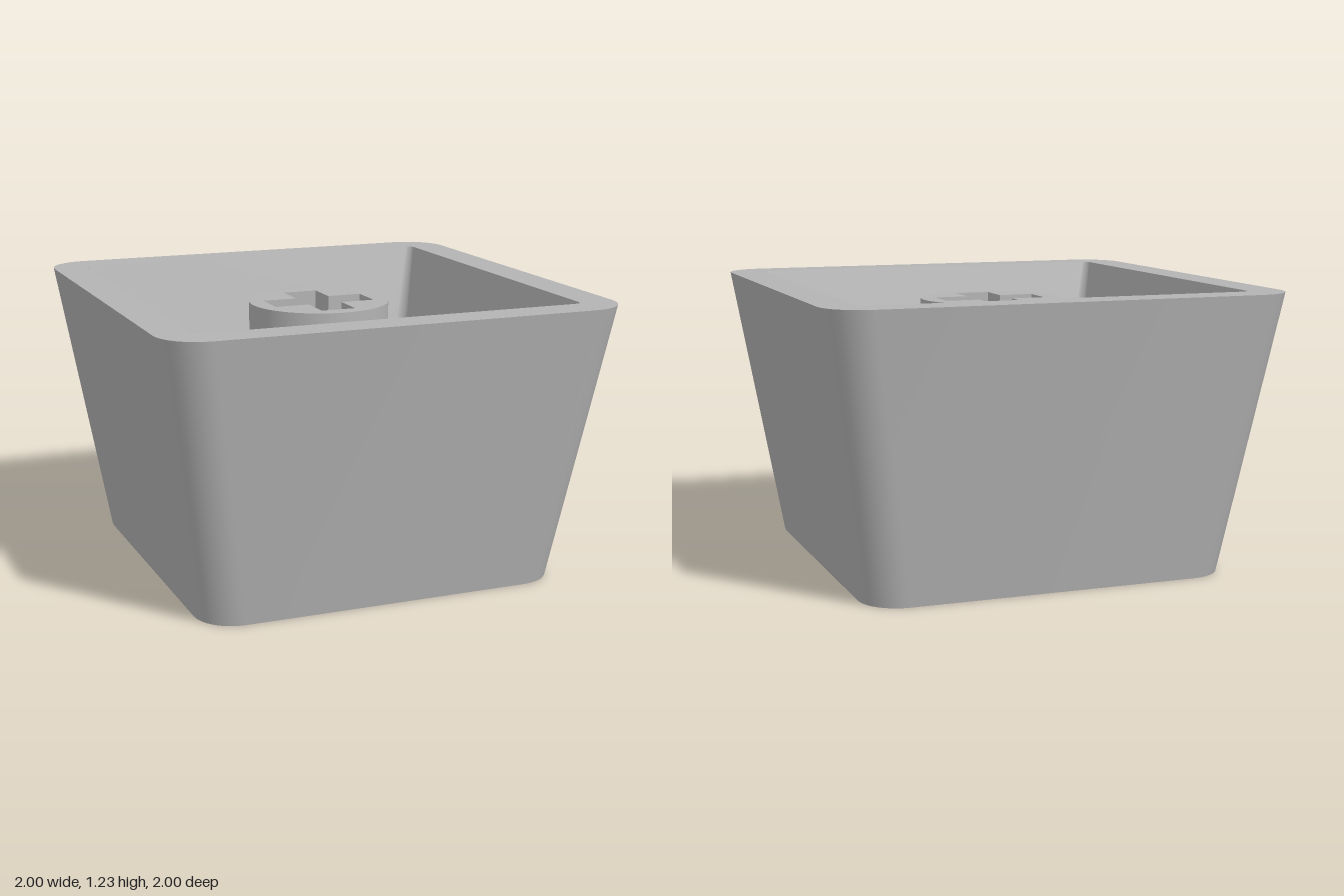
import * as THREE from 'three';
import { toCreasedNormals } from 'three/addons/utils/BufferGeometryUtils.js';

// Outlines are lists of [x, y] in plan, counter-clockwise, where plan y is -z.
function arc(cx, cy, r, from, to, steps) {
  return Array.from({ length: steps + 1 }, (_, i) => {
    const a = THREE.MathUtils.degToRad(from + ((to - from) * i) / steps);
    return [cx + r * Math.cos(a), cy + r * Math.sin(a)];
  });
}

function roundedSquare(half, r) {
  const c = half - r;
  return [[c, c], [-c, c], [-c, -c], [c, -c]].flatMap(([x, y], i) => arc(x, y, r, i * 90, i * 90 + 90, 8));
}

// Wall joining two matching outlines at heights y0 and y1
function wall(lower, upper, y0, y1, inward = false) {
  const pos = [];
  const n = lower.length;
  for (let i = 0; i < n; i++) {
    const j = (i + 1) % n;
    const a = [lower[i][0], y0, -lower[i][1]];
    const b = [lower[j][0], y0, -lower[j][1]];
    const c = [upper[j][0], y1, -upper[j][1]];
    const d = [upper[i][0], y1, -upper[i][1]];
    const tris = inward ? [a, c, b, a, d, c] : [a, b, c, a, c, d];
    pos.push(...tris.flat());
  }
  const g = new THREE.BufferGeometry();
  g.setAttribute('position', new THREE.Float32BufferAttribute(pos, 3));
  return toCreasedNormals(g, 0.5);
}

// Flat horizontal face with optional hole, facing up or down
function face(outline, y, hole = null, down = false) {
  const vecs = (pts) => pts.map(([px, py]) => new THREE.Vector2(px, down ? -py : py));
  const shape = new THREE.Shape(vecs(outline));
  if (hole) shape.holes.push(new THREE.Path(vecs(hole)));
  return new THREE.ShapeGeometry(shape).rotateX(down ? Math.PI / 2 : -Math.PI / 2).translate(0, y, 0);
}

export function createModel() {
  const grey = new THREE.MeshStandardMaterial({ color: 0xb3b3b3 });
  grey.name = 'grey plastic';
  const model = new THREE.Group();
  model.name = 'keycap';
  const add = (name, geometry, parent = model) => {
    const mesh = new THREE.Mesh(geometry, grey);
    mesh.name = name;
    parent.add(mesh);
  };

  const height = 1.225, floorY = 0.25;
  const outerBottom = roundedSquare(0.805, 0.17);
  const outerTop = roundedSquare(1, 0.18);
  const innerFloor = roundedSquare(0.65, 0.08);
  const innerTop = roundedSquare(0.845, 0.035);

  // Ring-shaped slot ending in a rounded arrowhead
  const slot = [
    ...arc(0, 0, 0.572, -90, 213, 20),
    [-0.52, -0.345], [-0.535, -0.39], [-0.52, -0.435], [-0.485, -0.455],
    [-0.31, -0.492], [-0.265, -0.48], [-0.242, -0.435],
    [-0.265, -0.255], [-0.285, -0.21], [-0.325, -0.195], [-0.36, -0.21],
    ...arc(0, 0, 0.457, 211, -90, 20),
    [-0.04, -0.47], [-0.06, -0.515], [-0.04, -0.56],
  ];

  // Tapered shell, open at the top
  const shell = new THREE.Group();
  shell.name = 'shell';
  model.add(shell);
  add('outerWall', wall(outerBottom, outerTop, 0, height), shell);
  add('innerWall', wall(innerFloor, innerTop, floorY, height, true), shell);
  add('rim', face(outerTop, height, innerTop), shell);
  add('underside', face(outerBottom, 0, slot, true), shell);
  add('innerFloor', face(innerFloor, floorY, slot), shell);
  add('slotWall', wall(slot, slot, 0, floorY, true), shell);

  // Round stem with a cross-shaped socket
  const stem = new THREE.Group();
  stem.name = 'stem';
  model.add(stem);
  const stemTop = 1.15, socketY = 0.7;
  const circle = arc(0, 0, 0.31, 0, 360, 48).slice(0, -1);
  const w = 0.078, l = 0.232;
  const cross = [
    [l, -w], [l, w], [w, w], [w, l], [-w, l], [-w, w],
    [-l, w], [-l, -w], [-w, -w], [-w, -l], [w, -l], [w, -w],
  ];
  add('stemSide', wall(circle, circle, floorY, stemTop), stem);
  add('stemTop', face(circle, stemTop, cross), stem);
  add('socketWall', wall(cross, cross, socketY, stemTop, true), stem);
  add('socketFloor', face(cross, socketY), stem);

  return model;
}
